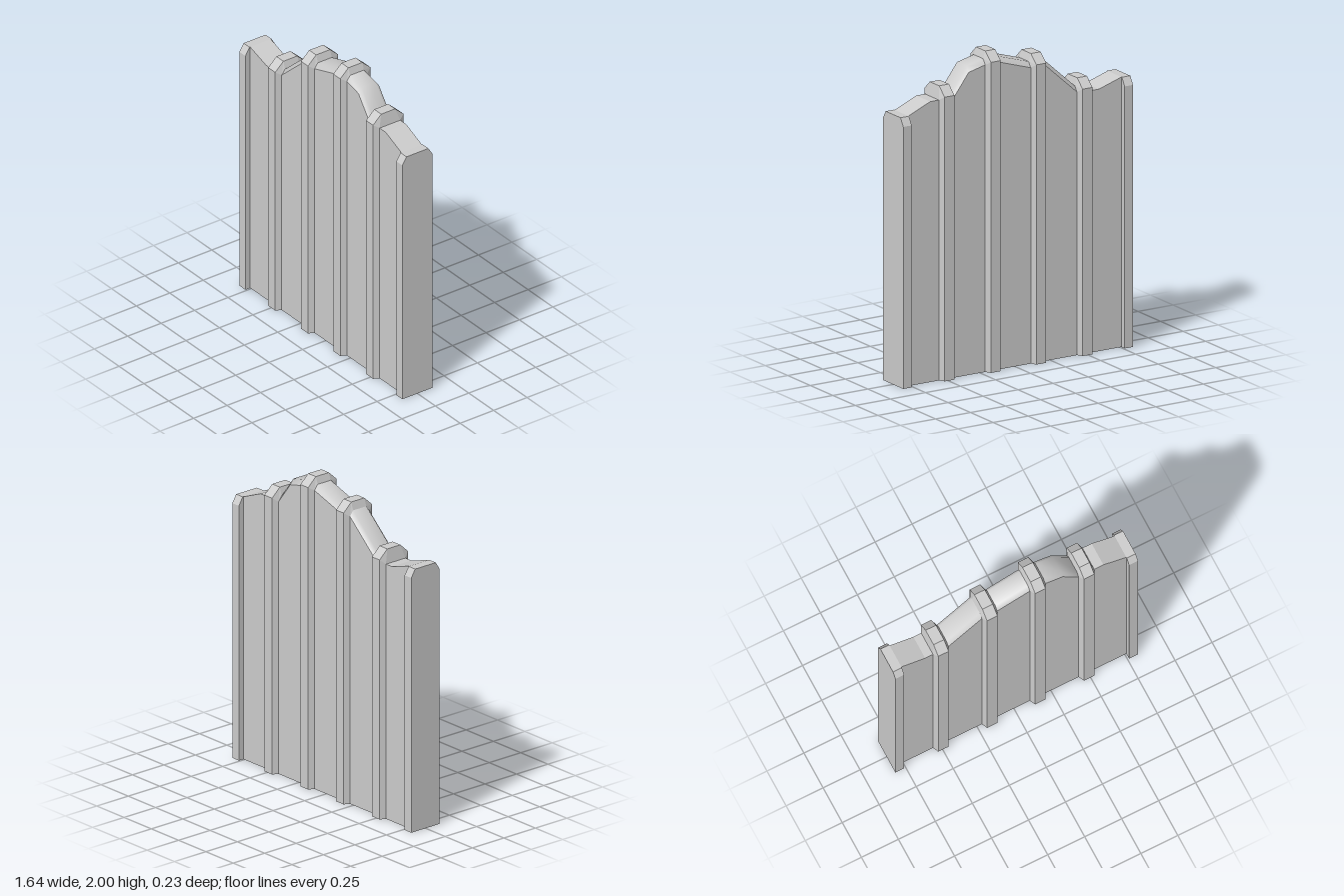
import * as THREE from 'three';

const PANEL = 0.077, PROUD = 0.113; // half depths of panels and of ribs/posts

// Cross-section types at a given x: half depth, shoulder height, half width of the crown
const flat = (x, top) => ({ x, top, side: top, d: PANEL, t: PANEL });
const round = (x, top) => ({ x, top, side: top - 0.033, d: PANEL, t: 0.052 });
const rib = (x, top) => ({ x, top, side: top - 0.056, d: PROUD, t: 0.052 });
const post = (x, top) => ({ x, top, side: top - 0.05, d: PROUD, t: 0.082 });

const ring = ({ x, top, side, d, t }) =>
  [[-d, 0], [-d, side], [-t, top], [t, top], [d, side], [d, 0]].map(([z, y]) => [x, y, z]);

const material = new THREE.MeshStandardMaterial({ color: 0xcccccc });

// Skin the chosen ring edges between successive sections, optionally capping the ends
function loft(name, sections, { edges = [0, 1, 2, 3, 4, 5], smooth = false, capStart = false, capEnd = false } = {}) {
  const index = [];
  sections.slice(1).forEach((_, i) => {
    for (const j of edges) {
      const k = (j + 1) % 6;
      const a = i * 6 + j, b = a + 6, c = (i + 1) * 6 + k, d = i * 6 + k;
      index.push(a, d, c, a, c, b);
    }
  });
  const last = (sections.length - 1) * 6;
  for (let j = 1; j < 5; j++) {
    if (capStart) index.push(0, j + 1, j);
    if (capEnd) index.push(last, last + j, last + j + 1);
  }
  let geometry = new THREE.BufferGeometry();
  geometry.setAttribute('position', new THREE.Float32BufferAttribute(sections.flatMap(ring).flat(), 3));
  geometry.setIndex(index);
  if (!smooth) geometry = geometry.toNonIndexed();
  geometry.computeVertexNormals();
  const mesh = new THREE.Mesh(geometry, material);
  mesh.name = name;
  return mesh;
}

export function createModel() {
  const wall = new THREE.Group();
  wall.name = 'wallSection';

  // Panels with flat tops beside the end posts
  const rightPanel = [flat(-0.76, 1.69), flat(-0.6, 1.64), flat(-0.547, 1.64)];
  const leftPanel = [flat(0.543, 1.755), flat(0.605, 1.755), flat(0.76, 1.69)];
  wall.add(loft('rightOuterPanel', rightPanel), loft('leftOuterPanel', leftPanel));

  // Middle panels with smoothly rounded copings
  const middle = [
    [round(-0.443, 1.68), round(-0.217, 1.883)],
    [round(-0.113, 1.885), round(0.108, 1.955)],
    [round(0.212, 1.955), round(0.33, 1.927), round(0.438, 1.785)],
  ];
  middle.forEach((sections, i) => {
    wall.add(loft(`middlePanel${i + 1}`, sections, { edges: [0, 4, 5] }));
    wall.add(loft(`coping${i + 1}`, sections, { edges: [1, 2, 3], smooth: true }));
  });

  // Bevelled ribs bridging neighbouring panels
  const panels = [rightPanel, ...middle, leftPanel];
  [[-0.495, 1.727], [-0.165, 1.932], [0.16, 2], [0.49, 1.835]].forEach(([x, top], i) => {
    wall.add(loft(`rib${i + 1}`, [
      panels[i].at(-1), rib(x - 0.035, top), rib(x + 0.035, top), panels[i + 1][0],
    ]));
  });

  // End posts, stepping out from the outer panels
  wall.add(loft('rightPost', [post(-0.82, 1.69), post(-0.76, 1.69), flat(-0.76, 1.69)], { capStart: true }));
  wall.add(loft('leftPost', [flat(0.76, 1.69), post(0.76, 1.69), post(0.82, 1.69)], { capEnd: true }));

  return wall;
}
